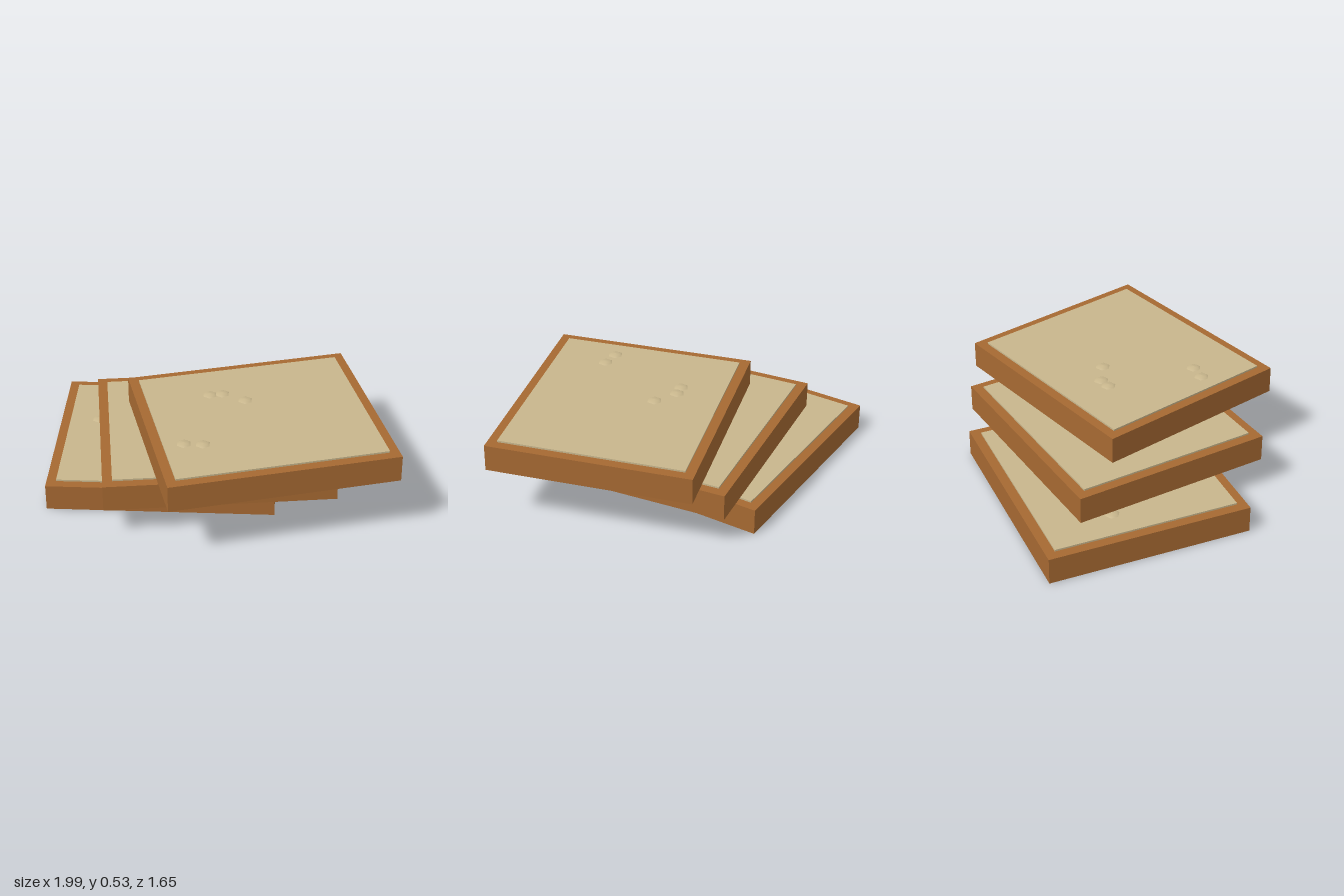
import * as THREE from 'three';

const WIDTH = 1.303, DEPTH = 1.165, HEIGHT = 0.155, RIM = 0.055, LIP = 0.01;

export function createModel() {
  const wood = new THREE.MeshStandardMaterial({ color: 0xa66932 });
  wood.name = 'wood';
  const cloth = new THREE.MeshStandardMaterial({ color: 0xc8b68c });
  cloth.name = 'tan panel';

  const model = new THREE.Group();
  model.name = 'stackedTrays';

  const slabGeometry = new THREE.BoxGeometry(WIDTH, HEIGHT, DEPTH);
  const panelGeometry = new THREE.BoxGeometry(WIDTH - 2 * RIM, LIP * 2, DEPTH - 2 * RIM);
  // Shallow six-sided dome
  const domeGeometry = new THREE.LatheGeometry([
    new THREE.Vector2(0.043, 0),
    new THREE.Vector2(0.028, 0.008),
    new THREE.Vector2(0, 0.011),
  ], 6);

  const add = (parent, name, geometry, material, x, y, z) => {
    const mesh = new THREE.Mesh(geometry, material);
    mesh.name = name;
    mesh.position.set(x, y, z);
    parent.add(mesh);
    return mesh;
  };

  // Each tray: centre, turn about y, and dome positions in the model frame
  const trays = [
    { name: 'bottomTray', x: -0.347, y: 0, z: -0.247, turn: 0,
      domes: [[-0.77, -0.38], [-0.45, -0.44], [-0.37, -0.51], [-0.1, -0.045]] },
    { name: 'middleTray', x: -0.07, y: 0.176, z: -0.08, turn: 0.135,
      domes: [[-0.33, 0.17], [-0.27, 0.13], [-0.21, -0.05], [-0.08, -0.21]] },
    { name: 'topTray', x: 0.209, y: 0.351, z: 0.086, turn: 0.278,
      domes: [[-0.085, -0.115], [-0.015, -0.13], [0.12, -0.065], [-0.2, 0.41], [-0.095, 0.41]] },
  ];

  for (const { name, x, y, z, turn, domes } of trays) {
    const tray = new THREE.Group();
    tray.name = name;
    model.add(tray);

    // Wooden block with the raised panel set in its top
    add(tray, 'woodenBlock', slabGeometry, wood, x, y + HEIGHT / 2, z).rotation.y = turn;
    add(tray, 'topPanel', panelGeometry, cloth, x, y + HEIGHT, z).rotation.y = turn;

    // Low domes scattered on the panel
    for (const [dx, dz] of domes) {
      add(tray, 'dome', domeGeometry, cloth, dx, y + HEIGHT + LIP, dz);
    }
  }
  return model;
}
